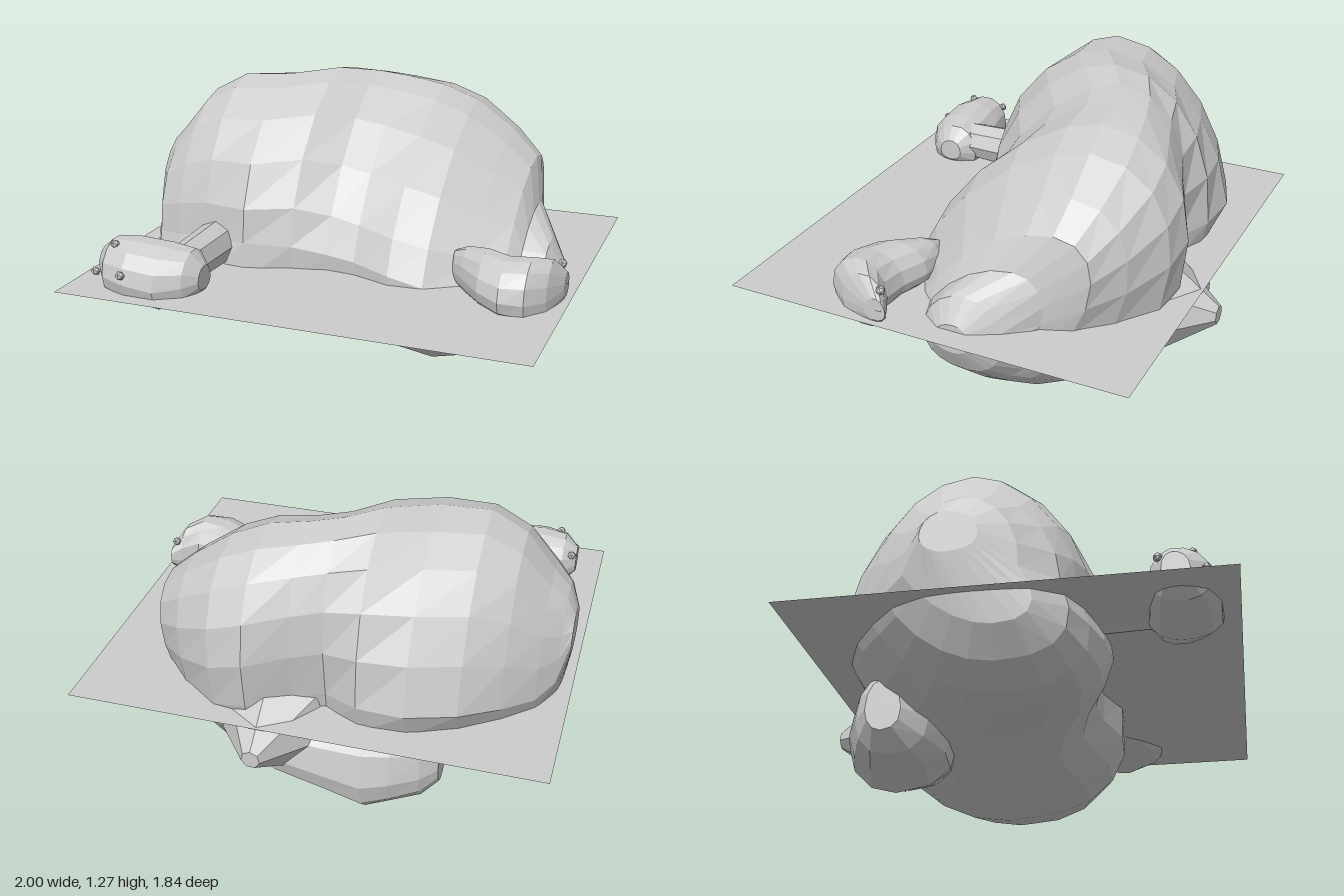
import * as THREE from 'three';

const material = new THREE.MeshStandardMaterial({ color: 0xcccccc, flatShading: true });

// Closed faceted skin over rounded cross-sections
// [x, top, bottom, front, back, z of the top ridge, z of the keel, upper front leanness]
function loft(rows, sides) {
  const pos = [], index = [];
  const centre = ([, top, bottom, front, back]) => [bottom + (top - bottom) * 0.42, back + (front - back) * 0.45];
  for (const row of rows) {
    const [yc, zc] = centre(row);
    const [x, top, bottom, front, back, ridge = zc, keel = zc, lean = 1] = row;
    for (let j = 0; j < sides; j++) {
      const a = (j / sides) * Math.PI * 2;
      const c = Math.cos(a), s = Math.sin(a);
      const p = s < 0 ? (c < 0 ? 1 : 0.85) : (c < 0 ? 0.95 : lean);
      const u = Math.abs(c) ** p, v = Math.abs(s) ** p;
      const z = zc + (c > 0 ? u * (front - zc) : u * (back - zc)) + v * ((s > 0 ? ridge : keel) - zc);
      pos.push(x, yc + (s > 0 ? v * (top - yc) : v * (bottom - yc)), z);
    }
  }
  for (let i = 0; i < rows.length - 1; i++) {
    for (let j = 0; j < sides; j++) {
      const k = (j + 1) % sides;
      const a = i * sides + j, b = a + sides, c = (i + 1) * sides + k, d = i * sides + k;
      index.push(a, b, c, a, c, d);
    }
  }
  // End caps
  const first = rows[0], last = rows[rows.length - 1], n = rows.length * sides, end = n - sides;
  pos.push(first[0], ...centre(first), last[0], ...centre(last));
  for (let j = 0; j < sides; j++) {
    const k = (j + 1) % sides;
    index.push(n, j, k, n + 1, end + k, end + j);
  }
  const g = new THREE.BufferGeometry();
  g.setAttribute('position', new THREE.Float32BufferAttribute(pos, 3));
  g.setIndex(index);
  g.computeVertexNormals();
  return g;
}

export function createModel() {
  const model = new THREE.Group();
  const add = (name, geometry, mat = material) => {
    const mesh = new THREE.Mesh(geometry, mat);
    mesh.name = name;
    model.add(mesh);
    return mesh;
  };

  // Flat sheet cutting through the body
  const sheetMaterial = material.clone();
  sheetMaterial.side = THREE.DoubleSide;
  const sheet = add('groundSheet', new THREE.PlaneGeometry(2, 1.77), sheetMaterial);
  sheet.rotation.x = -Math.PI / 2;
  sheet.position.set(0, 0.512, 0.035);

  // Two-lobed body: the ridge runs from the front on its right lobe to the back on its left lobe
  add('body', loft([
    [-0.98, 0.86, 0.68, -0.05, -0.28],
    [-0.94, 0.94, 0.38, 0.10, -0.35, -0.13, 0.00],
    [-0.87, 1.01, 0.26, 0.25, -0.44, -0.12, 0.00, 1.1],
    [-0.75, 1.16, 0.18, 0.30, -0.56, -0.12, 0.00, 1.2],
    [-0.60, 1.24, 0.16, 0.33, -0.68, -0.12, -0.03, 1.25],
    [-0.40, 1.25, 0.16, 0.38, -0.75, -0.15, -0.12, 1.25],
    [-0.20, 1.27, 0.13, 0.33, -0.73, -0.27, -0.20, 1.2],
    [-0.05, 1.25, 0.10, 0.30, -0.64, -0.36, -0.20, 1.25],
    [0.08, 1.23, 0.09, 0.31, -0.68, -0.39, -0.20, 1.3],
    [0.25, 1.20, 0.08, 0.37, -0.77, -0.40, -0.20, 1.3],
    [0.40, 1.14, 0.06, 0.36, -0.74, -0.42, -0.18, 1.25],
    [0.57, 1.02, 0.09, 0.27, -0.61, -0.42, -0.15, 1.2],
    [0.69, 0.91, 0.17, 0.20, -0.48, -0.40, -0.12, 1.1],
    [0.74, 0.74, 0.21, 0.17, -0.34, -0.25],
    [0.84, 0.64, 0.30, 0.10, -0.25],
    [0.90, 0.54, 0.41, 0.02, -0.14],
  ], 20));

  // Lump under the rear
  add('rearLump', loft([
    [-0.52, 0.38, 0.16, -0.45, -0.60],
    [-0.45, 0.45, 0.08, -0.35, -0.66],
    [-0.33, 0.48, 0.04, -0.28, -0.72],
    [-0.22, 0.50, 0.00, -0.28, -0.75],
    [-0.05, 0.48, 0.07, -0.32, -0.75],
    [0.15, 0.48, 0.14, -0.38, -0.75],
    [0.30, 0.42, 0.24, -0.48, -0.66],
  ], 12));

  // Blunt pointed tail
  const tail = add('tail', new THREE.CylinderGeometry(0.04, 0.25, 0.28, 7));
  tail.rotation.x = -Math.PI / 2;
  tail.position.set(0.18, 0.41, -0.78);

  // Right arm and paw
  const arm = add('rightArm', new THREE.CylinderGeometry(0.085, 0.1, 0.5, 8));
  arm.rotation.x = Math.PI / 2;
  arm.position.set(-0.55, 0.59, 0.42);
  add('rightPaw', loft([
    [-0.89, 0.65, 0.53, 0.74, 0.63],
    [-0.83, 0.70, 0.47, 0.82, 0.58],
    [-0.72, 0.71, 0.45, 0.86, 0.56],
    [-0.58, 0.70, 0.43, 0.86, 0.55],
    [-0.48, 0.68, 0.46, 0.80, 0.57],
    [-0.43, 0.62, 0.52, 0.74, 0.63],
  ], 14));

  // Left paw, tapering into the body
  add('leftPaw', loft([
    [0.50, 0.65, 0.52, 0.26, 0.19],
    [0.56, 0.68, 0.50, 0.34, 0.17],
    [0.66, 0.70, 0.49, 0.47, 0.18],
    [0.76, 0.70, 0.47, 0.53, 0.23],
    [0.86, 0.71, 0.45, 0.51, 0.25],
    [0.93, 0.69, 0.45, 0.42, 0.21],
    [0.975, 0.62, 0.52, 0.29, 0.19],
  ], 14));

  // Small blunt claws on both paws
  const claws = [
    [-0.87, 0.64, 0.62], [-0.80, 0.69, 0.75], [-0.87, 0.58, 0.80], [-0.72, 0.60, 0.86],
    [0.95, 0.65, 0.22], [0.96, 0.57, 0.22], [0.95, 0.50, 0.27],
  ];
  for (const p of claws) add('claw', new THREE.IcosahedronGeometry(0.02, 0)).position.set(...p);

  return model;
}
